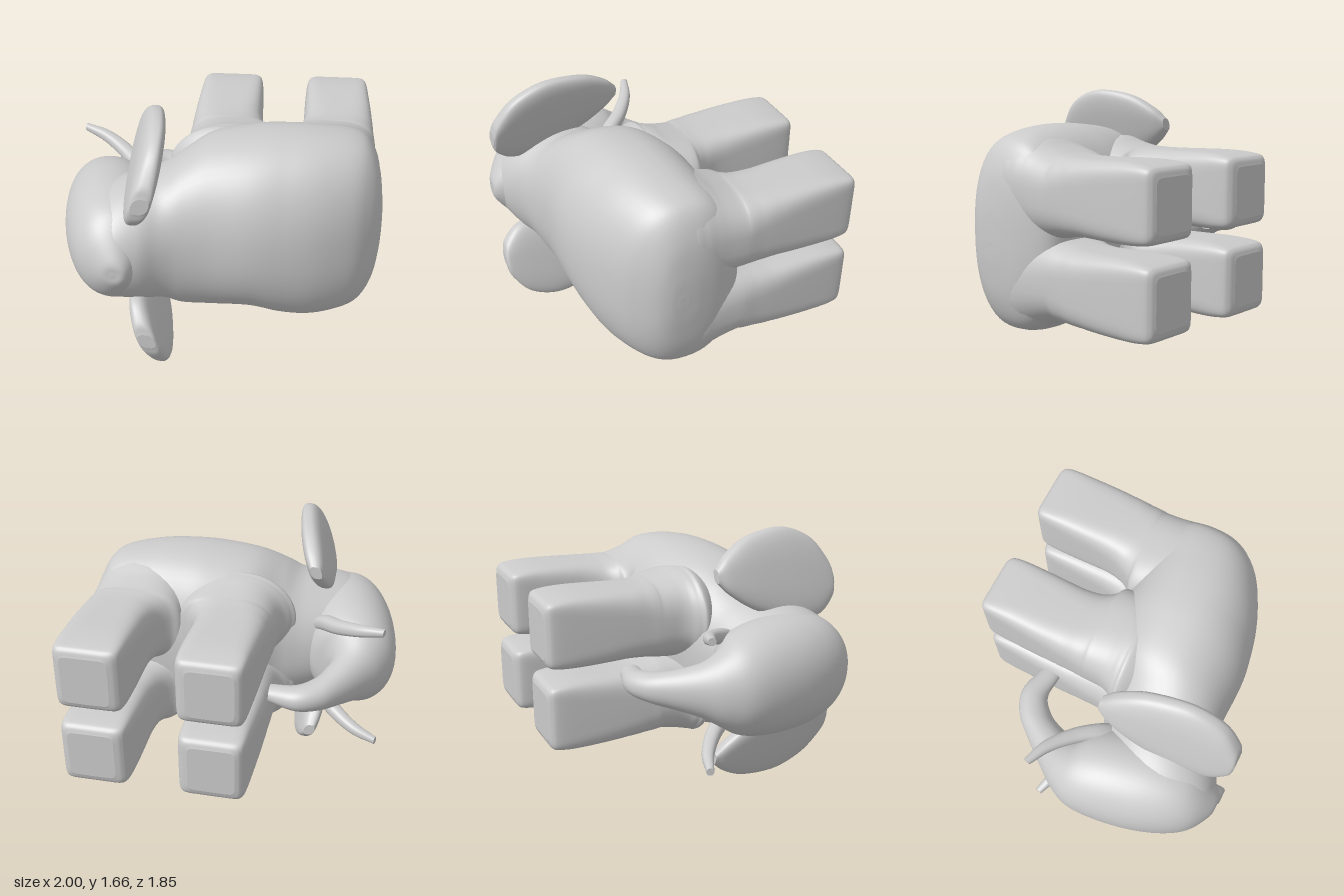
import * as THREE from 'three';

const MID = 0.84; // height of the animal's plane of symmetry
const V = (x, y, z) => new THREE.Vector3(x, y, z);
const material = new THREE.MeshStandardMaterial({ color: 0xcccccc });

// Smooth skin over sections { c: centre, u, v: half axes, n: squareness, m: squareness of the -v half }
function loft(sections, steps = 6, sides = 56) {
  const curve = key => new THREE.CatmullRomCurve3(sections.map(s => s[key]), false, 'catmullrom', 0.5);
  const [C, U, W] = ['c', 'u', 'v'].map(curve);
  const rows = (sections.length - 1) * steps;
  const pos = [], idx = [];
  const power = (a, n) => Math.sign(a) * Math.pow(Math.abs(a), 2 / n);
  const ring = t => {
    const f = t * (sections.length - 1), i = Math.min(Math.floor(f), sections.length - 2);
    const mix = pick => THREE.MathUtils.lerp(pick(sections[i]), pick(sections[i + 1]), f - i);
    const n = mix(s => s.n), m = mix(s => s.m ?? s.n);
    const c = C.getPoint(t), u = U.getPoint(t), v = W.getPoint(t);
    for (let k = 0; k < sides; k++) {
      const a = (k / sides) * Math.PI * 2, e = Math.sin(a) < 0 ? m : n;
      const p = c.clone().addScaledVector(u, power(Math.cos(a), e)).addScaledVector(v, power(Math.sin(a), e));
      pos.push(p.x, p.y, p.z);
    }
    return c;
  };
  for (let r = 0; r <= rows; r++) ring(r / rows);
  for (let r = 0; r < rows; r++) for (let k = 0; k < sides; k++) {
    const a = r * sides + k, b = r * sides + (k + 1) % sides;
    idx.push(a, b, a + sides, b, b + sides, a + sides);
  }
  // End caps with their own vertices, so their edges stay crisp
  for (const t of [0, 1]) {
    const base = pos.length / 3, c = ring(t);
    pos.push(c.x, c.y, c.z);
    for (let k = 0; k < sides; k++) {
      const a = base + k, b = base + (k + 1) % sides;
      idx.push(base + sides, ...(t ? [a, b] : [b, a]));
    }
  }
  // Turn the faces outwards when the enclosed volume is negative
  const at = i => V(pos[3 * i], pos[3 * i + 1], pos[3 * i + 2]);
  let volume = 0;
  for (let i = 0; i < idx.length; i += 3) volume += at(idx[i]).dot(at(idx[i + 1]).cross(at(idx[i + 2])));
  if (volume < 0) idx.reverse();
  const g = new THREE.BufferGeometry();
  g.setAttribute('position', new THREE.Float32BufferAttribute(pos, 3));
  g.setIndex(idx);
  g.computeVertexNormals();
  return g;
}

export function createModel() {
  const model = new THREE.Group();
  const add = (name, sections) => {
    const mesh = new THREE.Mesh(loft(sections), material);
    mesh.name = name;
    model.add(mesh);
  };

  // Body and neck: x, y range, z range, squareness of back and belly (the back faces +z)
  add('body', [
    [-0.82, 0.64, 1.04, 0.2, 0.7, 2, 2], [-0.72, 0.525, 1.155, 0.12, 0.83, 2, 2.1],
    [-0.6, 0.475, 1.21, 0.1, 0.89, 2, 2.1],
    [-0.45, 0.44, 1.245, 0.06, 0.86, 2, 2.2], [-0.33, 0.405, 1.275, 0.03, 0.79, 2.1, 2.3],
    [-0.22, 0.34, 1.345, -0.01, 0.75, 2.2, 2.3], [-0.05, 0.3, 1.43, -0.12, 0.73, 2.2, 2.35],
    [0.2, 0.29, 1.47, -0.18, 0.735, 2.2, 2.35], [0.4, 0.23, 1.48, -0.19, 0.71, 2.2, 2.35],
    [0.6, 0.21, 1.47, -0.19, 0.66, 2.3, 2.35], [0.8, 0.24, 1.435, -0.18, 0.57, 2.4, 2.4],
    [0.9, 0.3, 1.37, -0.13, 0.49, 2.4, 2.4], [0.965, 0.45, 1.22, 0, 0.41, 2.4, 2.4],
    [0.993, 0.65, 1.03, 0.13, 0.34, 2.4, 2.4], [1, 0.8, 0.88, 0.22, 0.28, 2.4, 2.4],
  ].map(([x, y0, y1, z0, z1, n, m]) => ({
    c: V(x, (y0 + y1) / 2, (z0 + z1) / 2), u: V(0, (y1 - y0) / 2, 0), v: V(0, 0, (z1 - z0) / 2), n, m,
  })));

  // Head running into the trunk: front point x, z, rear point x, z, half width
  add('headAndTrunk', [
    [-0.585, 0.92, -0.565, 0.92, 0.01], [-0.66, 0.907, -0.5, 0.91, 0.085],
    [-0.79, 0.82, -0.43, 0.8, 0.23], [-0.88, 0.68, -0.36, 0.7, 0.32],
    [-0.95, 0.48, -0.32, 0.5, 0.36], [-0.99, 0.25, -0.37, 0.24, 0.35],
    [-0.99, 0.07, -0.45, 0.06, 0.305], [-0.93, -0.07, -0.56, -0.01, 0.235],
    [-0.84, -0.19, -0.59, -0.09, 0.17], [-0.72, -0.34, -0.565, -0.18, 0.125],
    [-0.6, -0.465, -0.52, -0.27, 0.095], [-0.45, -0.525, -0.42, -0.355, 0.075],
    [-0.27, -0.48, -0.27, -0.35, 0.05],
  ].map(([x0, z0, x1, z1, w]) => ({
    c: V((x0 + x1) / 2, MID, (z0 + z1) / 2), u: V((x1 - x0) / 2, 0, (z1 - z0) / 2), v: V(0, w, 0), n: 2.1,
  })));

  // Legs: z, x range, y range, squareness; shoulder and hip flare into the flanks
  const leg = [
    [-0.922, -0.16, 0.13, 0.95, 1.26, 9], [-0.905, -0.19, 0.17, 0.915, 1.3, 10],
    [-0.86, -0.212, 0.197, 0.895, 1.32, 9], [-0.7, -0.225, 0.21, 0.88, 1.335, 6],
    [-0.4, -0.24, 0.22, 0.88, 1.33, 4], [-0.27, -0.245, 0.25, 0.865, 1.33, 3.3],
    [-0.2, -0.25, 0.3, 0.85, 1.335, 3], [-0.16, -0.252, 0.36, 0.835, 1.34, 2.8],
  ];
  const shoulder = [
    [-0.06, -0.258, 0.37, 0.82, 1.362, 2.6], [0, -0.28, 0.365, 0.81, 1.38, 2.3],
    [0.05, -0.32, 0.35, 0.8, 1.388, 2.1], [0.1, -0.34, 0.33, 0.8, 1.385, 2],
    [0.26, -0.2, 0.3, 0.8, 1.3, 2],
  ];
  const hip = [
    [-0.06, -0.253, 0.37, 0.82, 1.373, 2.6], [0.02, -0.257, 0.37, 0.81, 1.41, 2.4],
    [0.1, -0.262, 0.37, 0.8, 1.44, 2.3], [0.2, -0.25, 0.36, 0.8, 1.45, 2.2],
    [0.34, -0.13, 0.3, 0.85, 1.35, 2],
  ];

  for (const [side, s] of [['left', 1], ['right', -1]]) {
    const mirrorY = y => MID + s * (y - MID);

    for (const [name, top, mirrorX] of [['FrontLeg', shoulder, x => x], ['RearLeg', hip, x => 0.71 - x]]) {
      add(side + name, [...leg, ...top].map(([z, x0, x1, y0, y1, n]) => ({
        c: V(mirrorX((x0 + x1) / 2), mirrorY((y0 + y1) / 2), z),
        u: V((x1 - x0) / 2, 0, 0), v: V(0, (y1 - y0) / 2, 0), n,
      })));
    }

    // Ear: a thick leaning plate given by z, y range, half thickness
    add(side + 'Ear', [
      [0.925, 1.27, 1.37, 0.05], [0.9, 1.2, 1.45, 0.065], [0.8, 1.12, 1.58, 0.075],
      [0.65, 1.11, 1.655, 0.08], [0.5, 1.14, 1.67, 0.08], [0.3, 1.22, 1.635, 0.075],
      [0.15, 1.32, 1.555, 0.06], [0.07, 1.4, 1.48, 0.035],
    ].map(([z, y0, y1, t]) => {
      const y = (y0 + y1) / 2, h = (y1 - y0) / 2;
      return {
        c: V(-0.415 + 0.3 * (y - 1.39) + 0.12 * (z - 0.6), mirrorY(y), z),
        u: V(0.3 * h, s * h, 0), v: V(t, 0, 0), n: 2.7,
      };
    }));

    // Tusk: centre, radius, turn of the section along the path; the right one splays more
    const tuskY = y => (s > 0 ? y : 1.63 - y);
    add(side + 'Tusk', [
      [-0.925, 1.215, -0.193, 0.023, 1.25], [-0.78, 1.18, -0.135, 0.038, 1.1],
      [-0.64, 1.13, -0.03, 0.047, 0.85], [-0.53, 1.08, 0.1, 0.052, 0.65],
      [-0.46, 1, 0.21, 0.055, 0.6],
    ].map(([x, y, z, r, a]) => ({
      c: V(x, tuskY(y), z), u: V(Math.cos(a) * r, 0, -Math.sin(a) * r), v: V(0, r, 0), n: 2.3,
    })));
  }
  return model;
}
